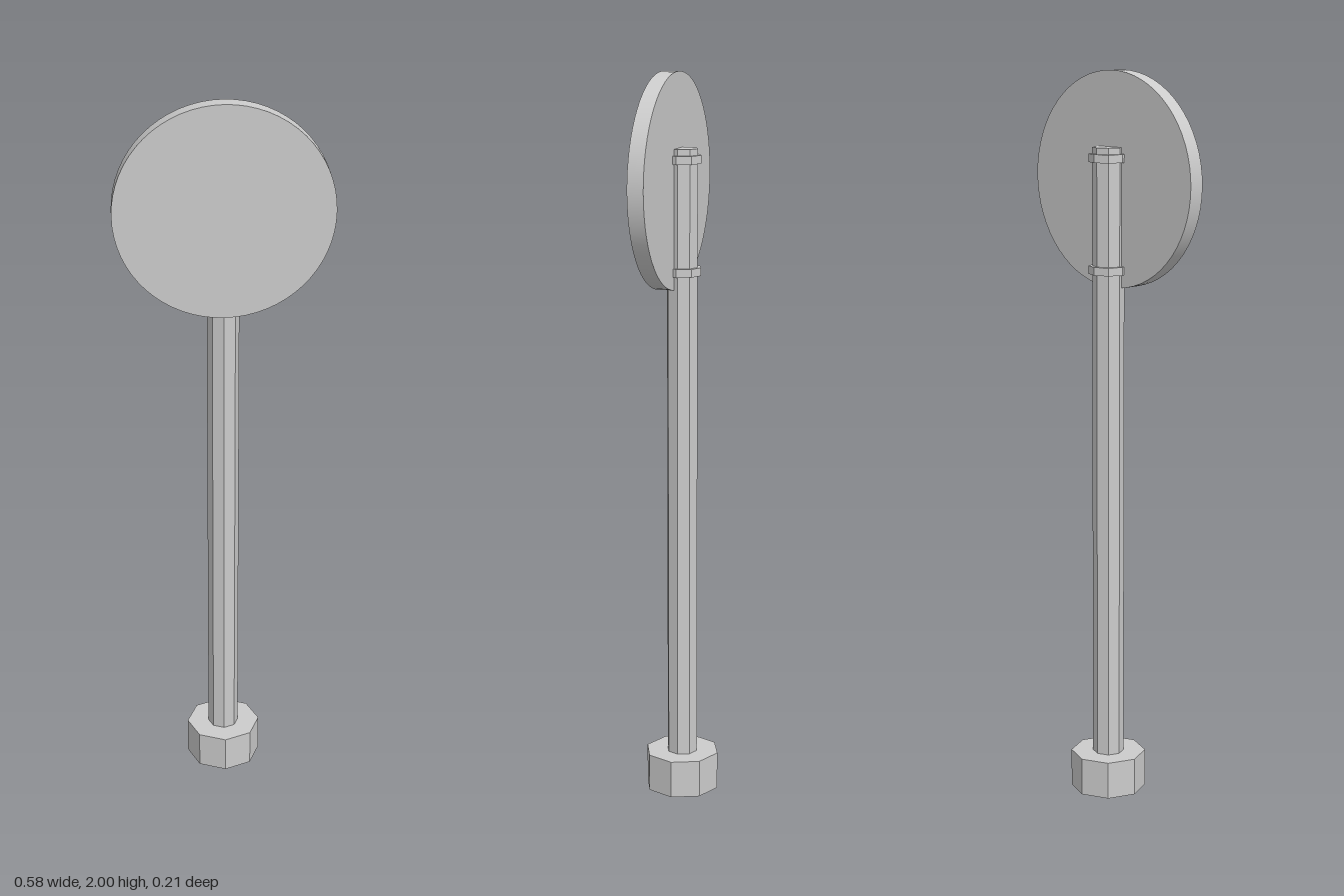
import * as THREE from 'three';

const faceted = new THREE.MeshStandardMaterial({ color: 0xcccccc, flatShading: true });
const smooth = new THREE.MeshStandardMaterial({ color: 0xcccccc });

// Upright octagonal prism standing between two heights
function octagon(name, radius, bottom, top) {
  const mesh = new THREE.Mesh(new THREE.CylinderGeometry(radius, radius, top - bottom, 8), faceted);
  mesh.position.y = (bottom + top) / 2;
  mesh.name = name;
  return mesh;
}

export function createModel() {
  const model = new THREE.Group();
  model.name = 'roundSignPost';

  // Foot and post
  model.add(octagon('base', 0.104, 0, 0.105));
  model.add(octagon('post', 0.043, 0.105, 1.8));

  // Clamps holding the sign to the post
  model.add(octagon('lowerClamp', 0.053, 1.463, 1.485));
  model.add(octagon('upperClamp', 0.053, 1.761, 1.783));

  // Round sign plate, facing front
  const plate = new THREE.Mesh(new THREE.CylinderGeometry(0.288, 0.288, 0.044, 64), smooth);
  plate.rotation.x = Math.PI / 2;
  plate.position.set(0, 1.712, 0.033);
  plate.name = 'signPlate';
  model.add(plate);

  return model;
}
